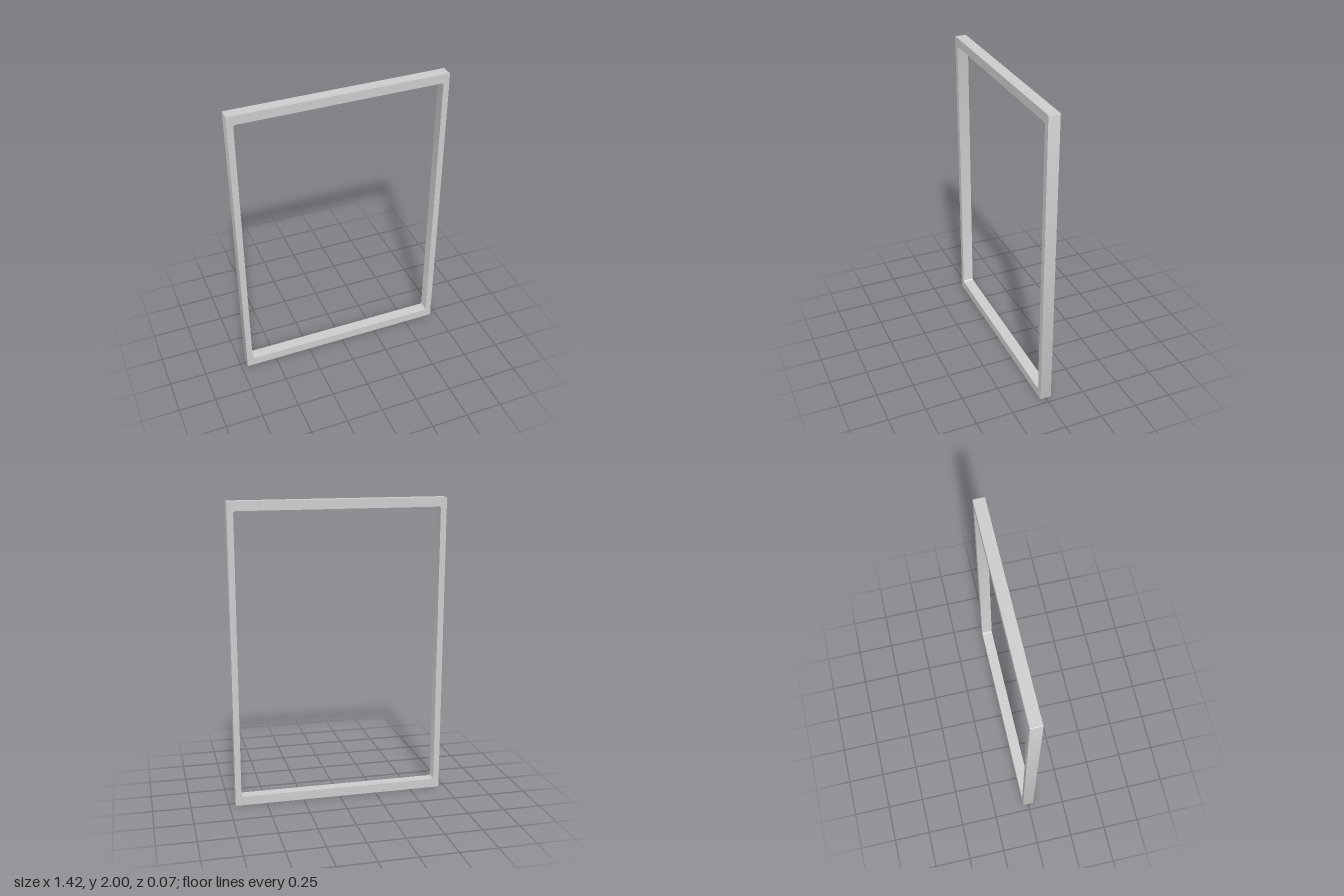
import * as THREE from 'three';
import { toCreasedNormals } from 'three/addons/utils/BufferGeometryUtils.js';

// Traces a rectangle with rounded corners, counter-clockwise
function roundedRect(path, x0, y0, x1, y1, r) {
  path.moveTo(x0 + r, y0);
  path.lineTo(x1 - r, y0);
  path.absarc(x1 - r, y0 + r, r, -Math.PI / 2, 0);
  path.lineTo(x1, y1 - r);
  path.absarc(x1 - r, y1 - r, r, 0, Math.PI / 2);
  path.lineTo(x0 + r, y1);
  path.absarc(x0 + r, y1 - r, r, Math.PI / 2, Math.PI);
  path.lineTo(x0, y0 + r);
  path.absarc(x0 + r, y0 + r, r, Math.PI, Math.PI * 1.5);
  return path;
}

export function createModel() {
  const group = new THREE.Group();
  group.name = 'rectangularFrame';

  const halfWidth = 0.709, height = 2, depth = 0.074;
  const stile = 0.04, rail = 0.06;

  // Outer outline with barely eased corners, opening with small fillets
  const outline = roundedRect(new THREE.Shape(), -halfWidth, 0, halfWidth, height, 0.004);
  outline.holes.push(roundedRect(new THREE.Path(),
    -halfWidth + stile, rail, halfWidth - stile, height - rail, 0.015));

  const extruded = new THREE.ExtrudeGeometry(outline, { depth, bevelEnabled: false, curveSegments: 8 });
  extruded.translate(0, 0, -depth / 2);

  const frame = new THREE.Mesh(
    toCreasedNormals(extruded, Math.PI / 6),
    new THREE.MeshStandardMaterial({ color: 0xcccccc })
  );
  frame.name = 'frame';
  group.add(frame);
  return group;
}
